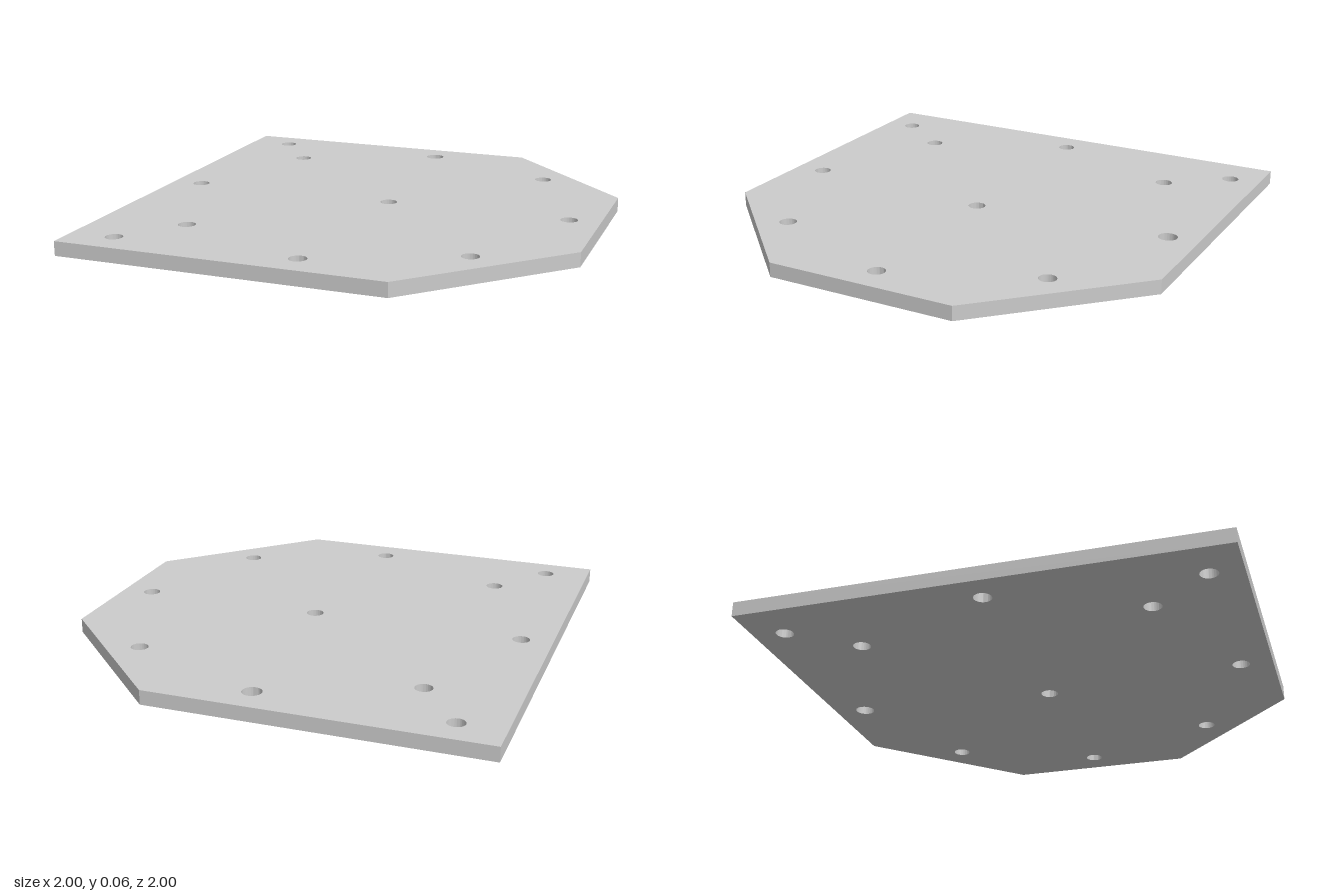
import * as THREE from 'three';
import { toCreasedNormals } from 'three/addons/utils/BufferGeometryUtils.js';

const THICKNESS = 0.062;
const HOLE_RADIUS = 0.037;
const RING_RADIUS = 0.866;
const CHAMFER = 0.414;

export function createModel() {
  const group = new THREE.Group();
  group.name = 'mountingPlate';

  // Square outline with two chamfered corners on the +x side (shape y is -z)
  const outline = new THREE.Shape([
    [-1, -1], [CHAMFER, -1], [1, -CHAMFER], [1, CHAMFER], [CHAMFER, 1], [-1, 1],
  ].map(([x, y]) => new THREE.Vector2(x, y)));

  const drill = (x, y, radius = HOLE_RADIUS) => {
    const hole = new THREE.Path();
    hole.absarc(x, y, radius, 0, Math.PI * 2, true);
    outline.holes.push(hole);
  };

  // Bolt circle of eight holes, the rear one slightly wider
  for (let i = 0; i < 8; i++) {
    const angle = (i * Math.PI) / 4;
    drill(RING_RADIUS * Math.cos(angle), RING_RADIUS * Math.sin(angle), i === 2 ? 0.041 : HOLE_RADIUS);
  }

  // Two corner holes and the offset centre hole
  for (const side of [-1, 1]) drill(-0.806, side * 0.866);
  drill(0.06, 0);

  // Plate laid flat on the ground
  const geometry = new THREE.ExtrudeGeometry(outline, {
    depth: THICKNESS, bevelEnabled: false, curveSegments: 40,
  });
  geometry.rotateX(-Math.PI / 2);

  const plate = new THREE.Mesh(
    toCreasedNormals(geometry, 0.5),
    new THREE.MeshStandardMaterial({ color: 0xcccccc }),
  );
  plate.name = 'plate';
  group.add(plate);
  return group;
}
